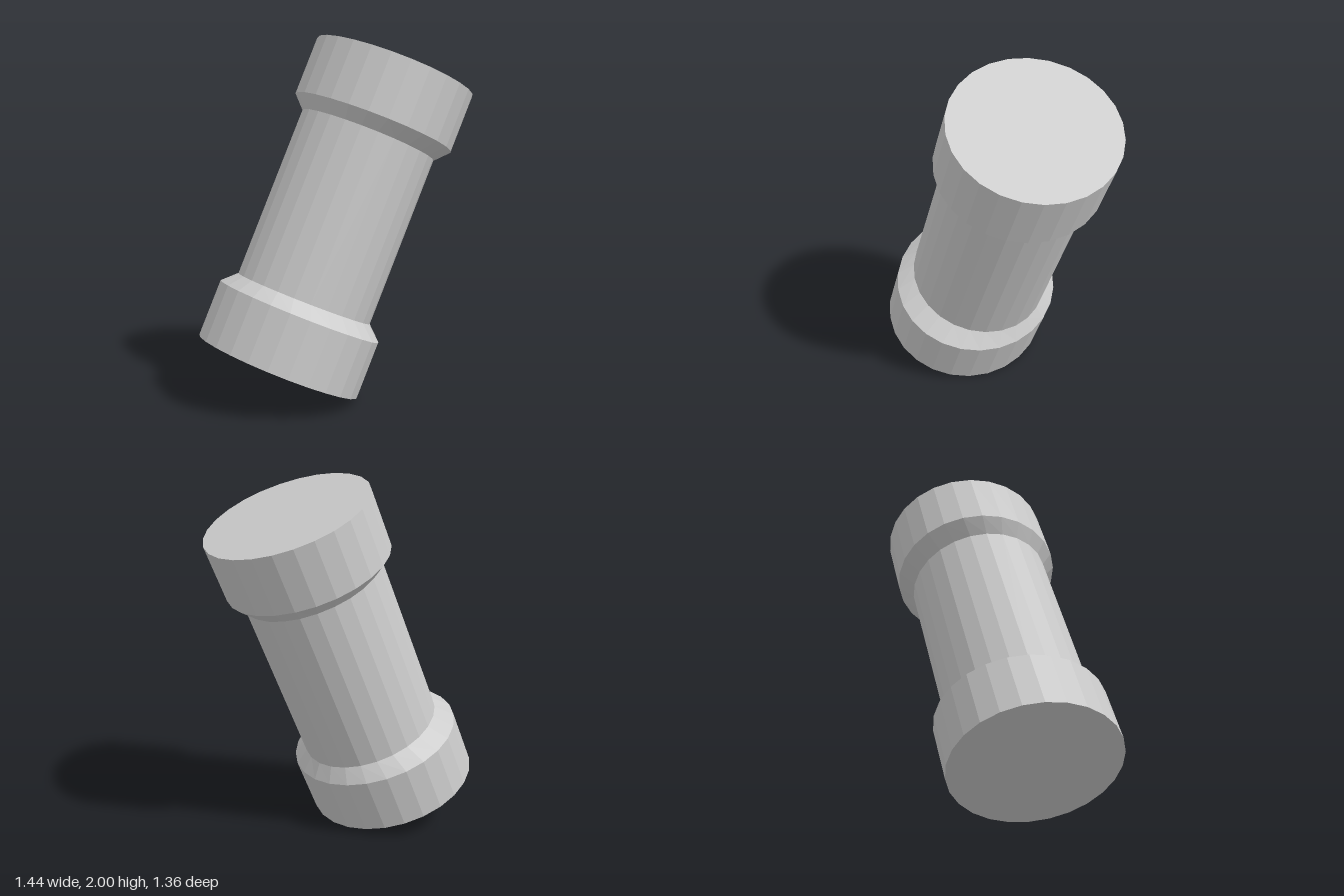
import * as THREE from 'three';

const SIDES = 26;
const HALF = 0.893;      // half length along the axis
const BODY_R = 0.392;
const CHAMFER = 0.075;

const material = new THREE.MeshStandardMaterial({ color: 0xcccccc, flatShading: true });

// Slightly oval end collar: flat face, straight band, then a chamfer down to the round shaft
function collar(name, a, b, height, sign) {
  const y = [HALF, HALF - height, HALF - height - CHAMFER].map((v) => v * sign);
  const profile = [[0, y[0]], [1, y[0]], [1, y[1]], [BODY_R, y[2]]]
    .map(([r, h]) => new THREE.Vector2(r, h));
  if (sign > 0) profile.reverse(); // profile runs upward so faces point outward
  const geometry = new THREE.LatheGeometry(profile, SIDES);
  const p = geometry.attributes.position;
  for (let i = 0; i < p.count; i++) {
    // only the wide rings are stretched to the oval
    if (Math.hypot(p.getX(i), p.getZ(i)) > 0.9) {
      p.setX(i, p.getX(i) * a);
      p.setZ(i, p.getZ(i) * b);
    }
  }
  geometry.computeVertexNormals();
  const mesh = new THREE.Mesh(geometry, material);
  mesh.name = name;
  return mesh;
}

export function createModel() {
  const group = new THREE.Group();
  group.name = 'leaningSpool';

  // Collars at both ends
  group.add(collar('upperCollar', 0.481, 0.45, 0.335, 1));
  group.add(collar('lowerCollar', 0.497, 0.452, 0.325, -1));

  // Round shaft between the chamfers
  const top = HALF - 0.335 - CHAMFER;
  const bottom = -(HALF - 0.325 - CHAMFER);
  const shaft = new THREE.Mesh(
    new THREE.CylinderGeometry(BODY_R, BODY_R, top - bottom, SIDES, 1, true), material);
  shaft.name = 'shaft';
  shaft.position.y = (top + bottom) / 2;
  group.add(shaft);

  // Lean the axis, with the oval's long side turned from x towards z
  const axis = new THREE.Vector3(0.524, 1.637, -0.474).normalize();
  const side = new THREE.Vector3(Math.cos(Math.PI / 6), 0, Math.sin(Math.PI / 6));
  side.addScaledVector(axis, -side.dot(axis)).normalize();
  const front = new THREE.Vector3().crossVectors(side, axis);
  group.quaternion.setFromRotationMatrix(new THREE.Matrix4().makeBasis(side, axis, front));
  group.position.y = 1;

  const model = new THREE.Group();
  model.name = 'model';
  model.add(group);
  return model;
}
